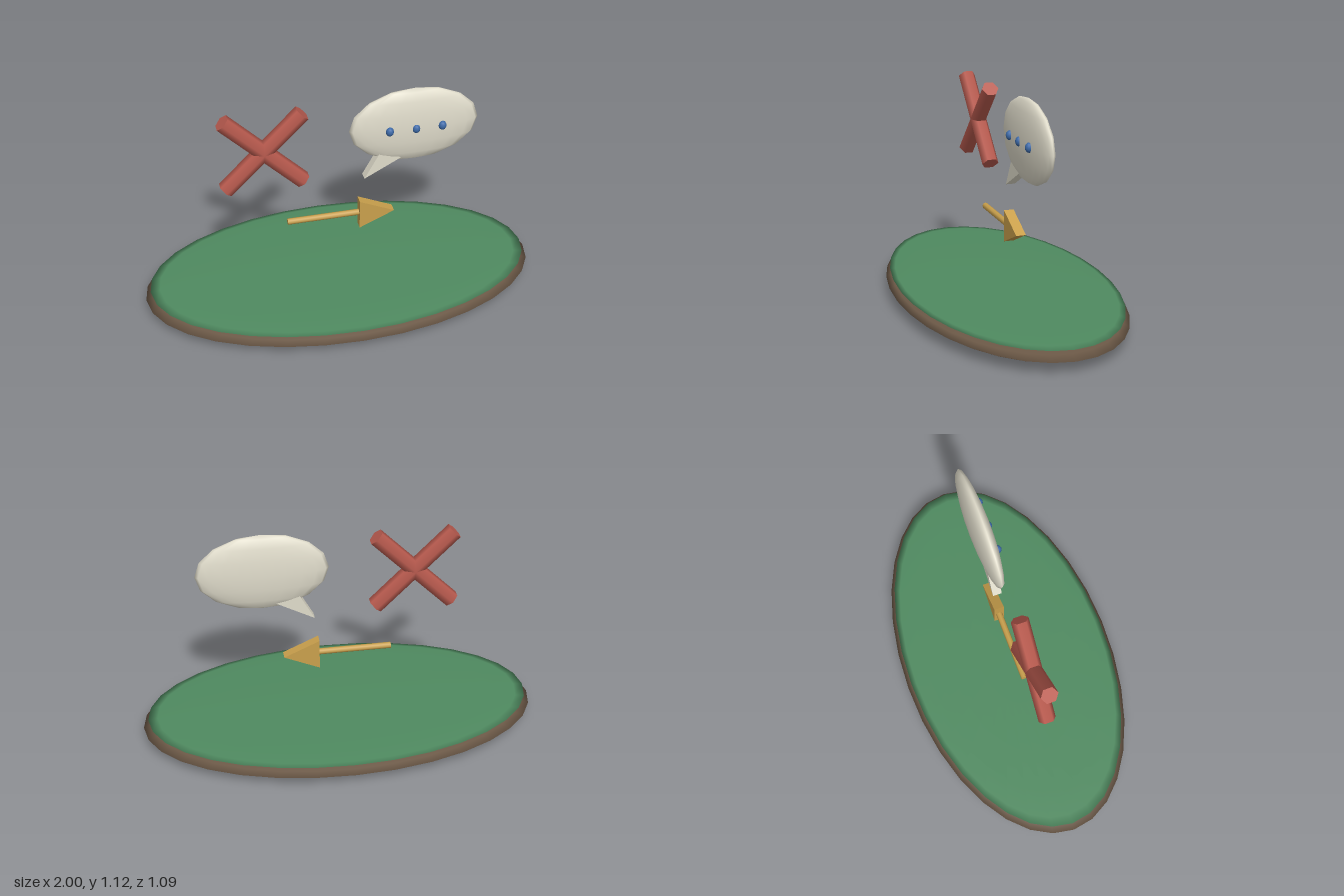
import * as THREE from 'three';

const mat = (color) => new THREE.MeshStandardMaterial({ color });

function add(parent, name, geometry, material, x = 0, y = 0, z = 0) {
  const mesh = new THREE.Mesh(geometry, material);
  mesh.name = name;
  mesh.position.set(x, y, z);
  parent.add(mesh);
  return mesh;
}

// Sphere squashed to three radii
const ellipsoid = (rx, ry, rz, w, h) => new THREE.SphereGeometry(1, w, h).scale(rx, ry, rz);

// Triangle extruded evenly to both sides of z = 0
function prism(points, depth) {
  const shape = new THREE.Shape(points.map(([x, y]) => new THREE.Vector2(x, y)));
  return new THREE.ExtrudeGeometry(shape, { depth, bevelEnabled: false }).translate(0, 0, -depth / 2);
}

export function createModel() {
  const model = new THREE.Group();
  model.name = 'signBoard';
  const brown = mat(0x6b5846), green = mat(0x4f8a60), red = mat(0xb85a4e);
  const gold = mat(0xc9a04c), cream = mat(0xe0dccb), blue = mat(0x3d6aa8);

  // Oval ground disc with a thin green top
  add(model, 'base', ellipsoid(1, 0.06, 0.547, 32, 10), brown, 0, 0.06, 0);
  add(model, 'greenTop', ellipsoid(0.975, 0.016, 0.527, 32, 10), green, 0, 0.106, 0);

  // Cross of two six-sided bars
  const cross = new THREE.Group();
  cross.name = 'cross';
  cross.position.set(-0.374, 0.866, 0);
  model.add(cross);
  for (const side of [-1, 1]) {
    const bar = add(cross, 'crossBar', new THREE.CylinderGeometry(0.043, 0.043, 0.545, 6), red);
    bar.rotation.z = side * Math.PI / 4;
  }

  // Arrow pointing to +x
  const arrow = new THREE.Group();
  arrow.name = 'arrow';
  arrow.position.y = 0.427;
  model.add(arrow);
  const shaft = add(arrow, 'arrowShaft', new THREE.CylinderGeometry(0.016, 0.016, 0.375, 8), gold, -0.077, 0.002, 0);
  shaft.rotation.z = Math.PI / 2;
  add(arrow, 'arrowHead', prism([[0.1, -0.08], [0.278, 0], [0.1, 0.08]], 0.05), gold);

  // Speech bubble with tail and three dots
  const bubble = new THREE.Group();
  bubble.name = 'speechBubble';
  bubble.position.set(0.372, 0.917, 0);
  model.add(bubble);
  add(bubble, 'bubbleBody', ellipsoid(0.324, 0.203, 0.05, 20, 8), cream);
  add(bubble, 'bubbleTail', prism([[-0.25, -0.273], [0.0, -0.138], [-0.155, -0.1]], 0.046), cream);
  for (const x of [-0.132, 0, 0.132]) {
    add(bubble, 'dot', ellipsoid(0.02, 0.024, 0.02, 12, 8), blue, x, 0, 0.045);
  }

  return model;
}
